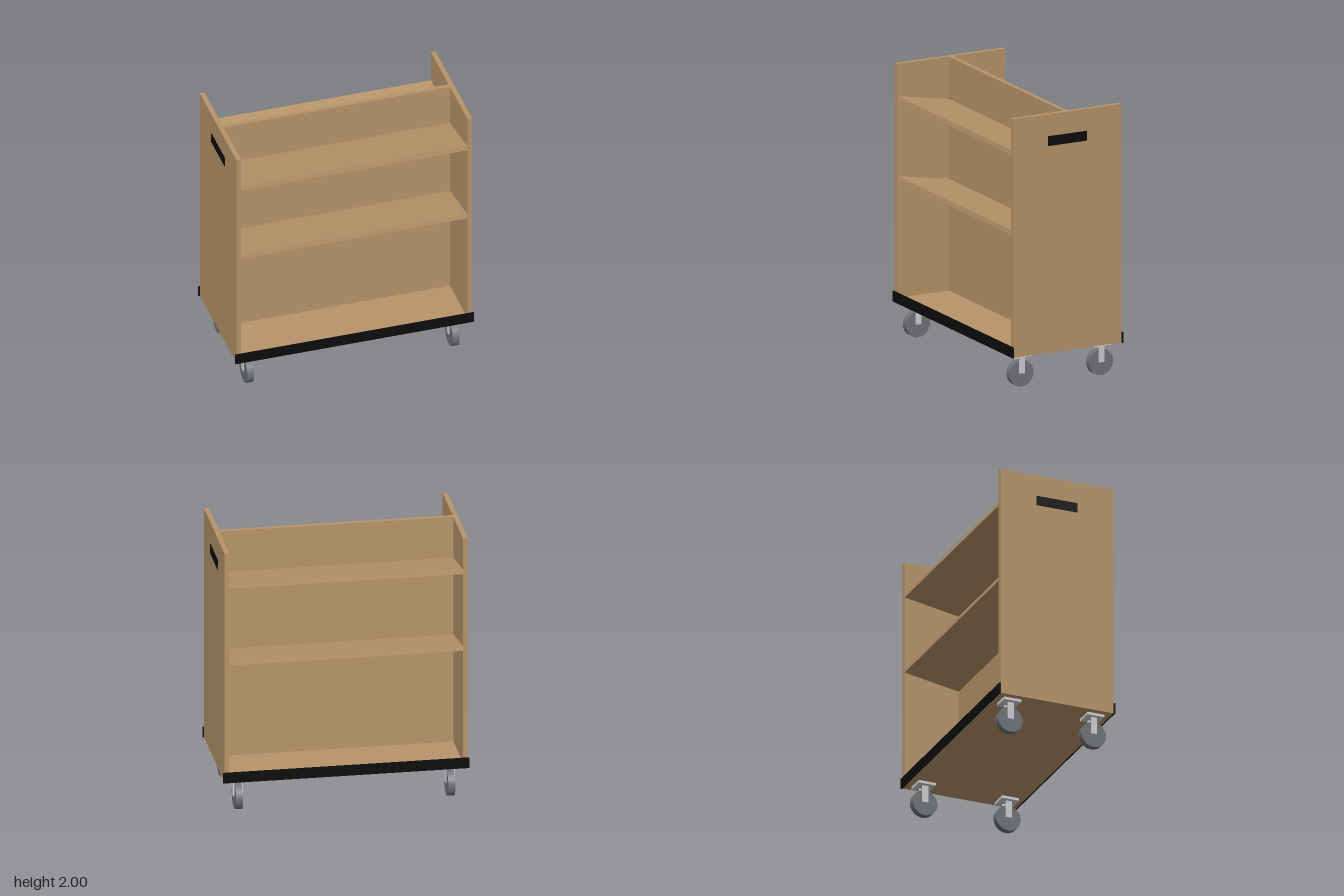
import * as THREE from 'three';

const wood = new THREE.MeshStandardMaterial({ name: 'wood', color: 0xb8956a });
const black = new THREE.MeshStandardMaterial({ name: 'blackRubber', color: 0x0c0c0c });
const steel = new THREE.MeshStandardMaterial({ name: 'steel', color: 0xd0d0d4 });
const tyre = new THREE.MeshStandardMaterial({ name: 'greyTyre', color: 0x707377 });

const T = 0.034;            // board thickness
const INNER = 0.841;        // inner face of the end panels
const BOTTOM = 0.248;       // underside of the cart body
const DEPTH = 0.874;

function box(name, material, size, position) {
  const mesh = new THREE.Mesh(new THREE.BoxGeometry(...size), material);
  mesh.name = name;
  mesh.position.set(...position);
  return mesh;
}

// Shelf hinged at its raised front lower edge, sloping down to the divider
function makeShelf(name, y) {
  const length = 0.43;
  const geometry = new THREE.BoxGeometry(2 * INNER, T, length);
  geometry.translate(0, T / 2, -length / 2);
  const shelf = new THREE.Mesh(geometry, wood);
  shelf.name = name;
  shelf.rotation.x = -THREE.MathUtils.degToRad(10);
  shelf.position.set(0, y, 0.434);
  return shelf;
}

// Caster: mounting plate, two fork arms and a wheel
function makeCaster(x, z) {
  const caster = new THREE.Group();
  caster.name = 'caster';
  caster.add(box('casterPlate', steel, [0.132, 0.02, 0.132], [0, BOTTOM - 0.01, 0]));
  for (const s of [-1, 1]) {
    caster.add(box('forkArm', steel, [0.009, 0.13, 0.044], [s * 0.031, 0.165, 0]));
  }
  const wheelGeometry = new THREE.CylinderGeometry(0.096, 0.096, 0.05, 32);
  wheelGeometry.rotateZ(Math.PI / 2);
  const wheel = new THREE.Mesh(wheelGeometry, tyre);
  wheel.name = 'wheel';
  wheel.position.y = 0.098;
  caster.add(wheel);
  caster.position.set(x, 0, z);
  return caster;
}

export function createModel() {
  const cart = new THREE.Group();
  cart.name = 'bookCart';

  // Floor board and central divider
  cart.add(box('floorBoard', wood, [2 * INNER, T, DEPTH], [0, BOTTOM + T / 2, 0]));
  const dividerHeight = 2 - BOTTOM - T;
  cart.add(box('divider', wood, [2 * INNER, dividerHeight, T], [0, 2 - dividerHeight / 2, 0]));

  // End panels with handle slots on the outer faces
  for (const s of [-1, 1]) {
    cart.add(box('endPanel', wood, [T, 2 - BOTTOM, DEPTH], [s * (INNER + T / 2), (2 + BOTTOM) / 2, 0]));
    cart.add(box('handleSlot', black, [0.006, 0.072, 0.316], [s * (INNER + T + 0.001), 1.803, 0]));
  }

  // Front and back halves are the same, turned about the upright axis
  for (const [name, turn] of [['frontSide', 0], ['backSide', Math.PI]]) {
    const side = new THREE.Group();
    side.name = name;
    side.add(makeShelf('lowerShelf', 1.141), makeShelf('upperShelf', 1.728));
    side.add(box('bumper', black, [1.77, 0.078, 0.01], [0, 0.286, DEPTH / 2 + 0.005]));
    side.add(makeCaster(-0.763, 0.322), makeCaster(0.763, 0.322));
    side.rotation.y = turn;
    cart.add(side);
  }
  return cart;
}
